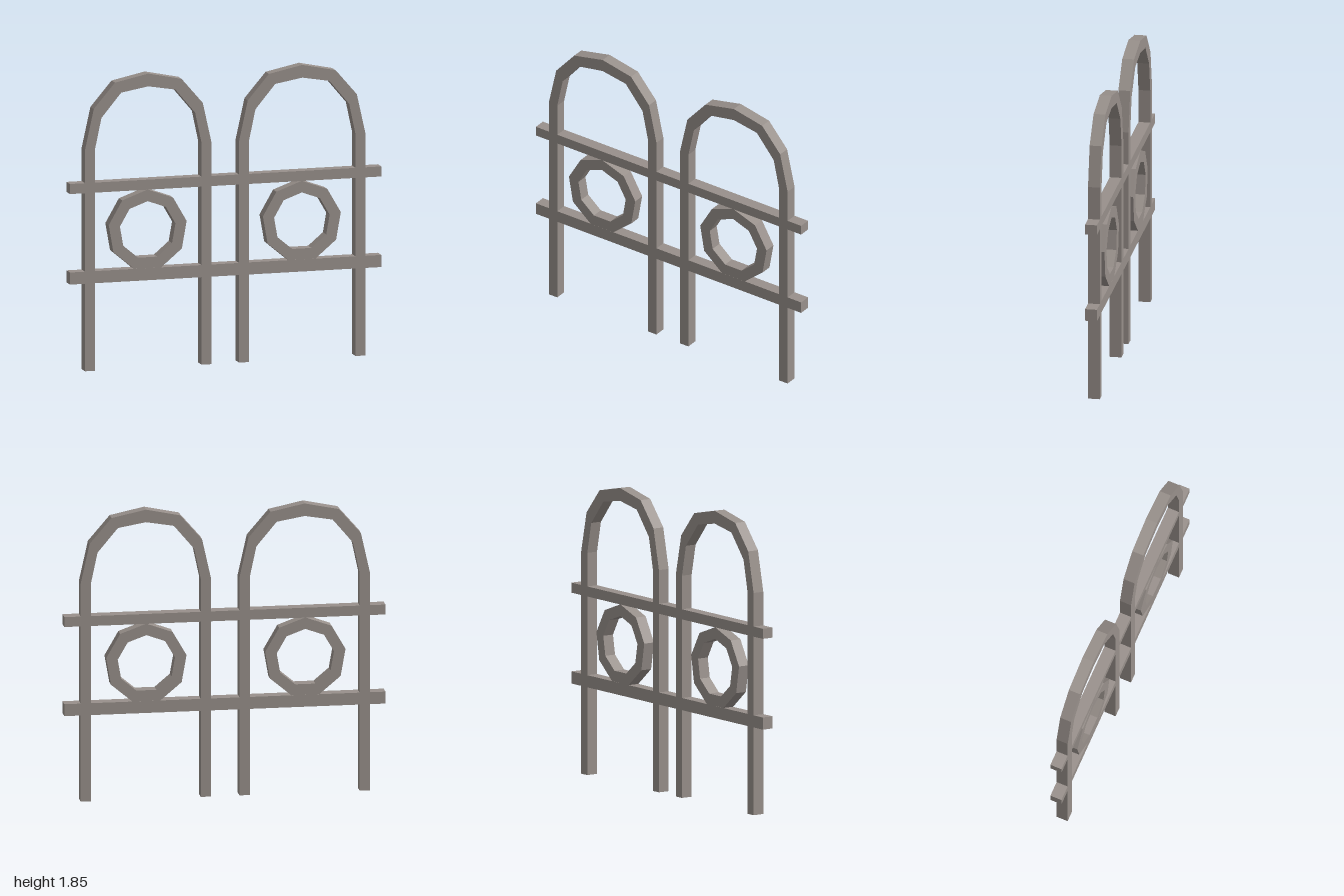
import * as THREE from 'three';

const HALF_DEPTH = 0.037;

// Half of the arched bar, from foot to crown: [outer x, outer y, inner x, inner y]
const HALF_ARCH = [
  [0.406, 0, 0.342, 0],
  [0.406, 1.39, 0.342, 1.39],
  [0.35, 1.642, 0.301, 1.583],
  [0.214, 1.8, 0.174, 1.735],
  [0, 1.845, 0, 1.765],
];

// Faceted square bar swept through rectangular sections; ends stay open
function sweepBar(sections) {
  const d = HALF_DEPTH;
  const loops = sections.map(([ox, oy, ix, iy]) => [
    [ox, oy, d], [ox, oy, -d], [ix, iy, -d], [ix, iy, d],
  ]);
  const positions = [];
  for (let i = 0; i < loops.length - 1; i++) {
    for (let j = 0; j < 4; j++) {
      const k = (j + 1) % 4;
      const a = loops[i][j], b = loops[i][k], c = loops[i + 1][k], e = loops[i + 1][j];
      positions.push(...a, ...b, ...c, ...a, ...c, ...e);
    }
  }
  const geometry = new THREE.BufferGeometry();
  geometry.setAttribute('position', new THREE.Float32BufferAttribute(positions, 3));
  geometry.computeVertexNormals();
  return geometry;
}

// Nine-sided ring with one corner at the top
function ringSections(outer, inner) {
  const sections = [];
  for (let i = 0; i <= 9; i++) {
    const t = Math.PI / 2 + (i % 9) * Math.PI * 2 / 9;
    const c = Math.cos(t), s = Math.sin(t);
    sections.push([outer * c, outer * s, inner * c, inner * s]);
  }
  return sections;
}

export function createModel() {
  const group = new THREE.Group();
  group.name = 'archedRailing';
  const metal = new THREE.MeshStandardMaterial({
    color: 0x98908b, flatShading: true, side: THREE.DoubleSide,
  });
  metal.name = 'warm grey metal';

  const add = (name, geometry, x, y) => {
    const mesh = new THREE.Mesh(geometry, metal);
    mesh.name = name;
    mesh.position.set(x, y, 0);
    group.add(mesh);
  };

  // Arches run from the right foot over the crown to the left foot
  const mirrored = HALF_ARCH.slice(0, -1).reverse().map(([ox, oy, ix, iy]) => [-ox, oy, -ix, iy]);
  const archGeometry = sweepBar([...HALF_ARCH, ...mirrored]);
  const ringGeometry = sweepBar(ringSections(0.254, 0.181));
  for (const [side, archX, ringX] of [['right', -0.497, -0.501], ['left', 0.492, 0.489]]) {
    add(side + 'Arch', archGeometry, archX, 0);
    add(side + 'Ring', ringGeometry, ringX, 0.864);
  }

  // Horizontal rails
  for (const [name, bottom, top] of [['lowerRail', 0.549, 0.625], ['upperRail', 1.117, 1.18]]) {
    add(name, new THREE.BoxGeometry(2, top - bottom, HALF_DEPTH * 2), 0, (top + bottom) / 2);
  }
  return group;
}
